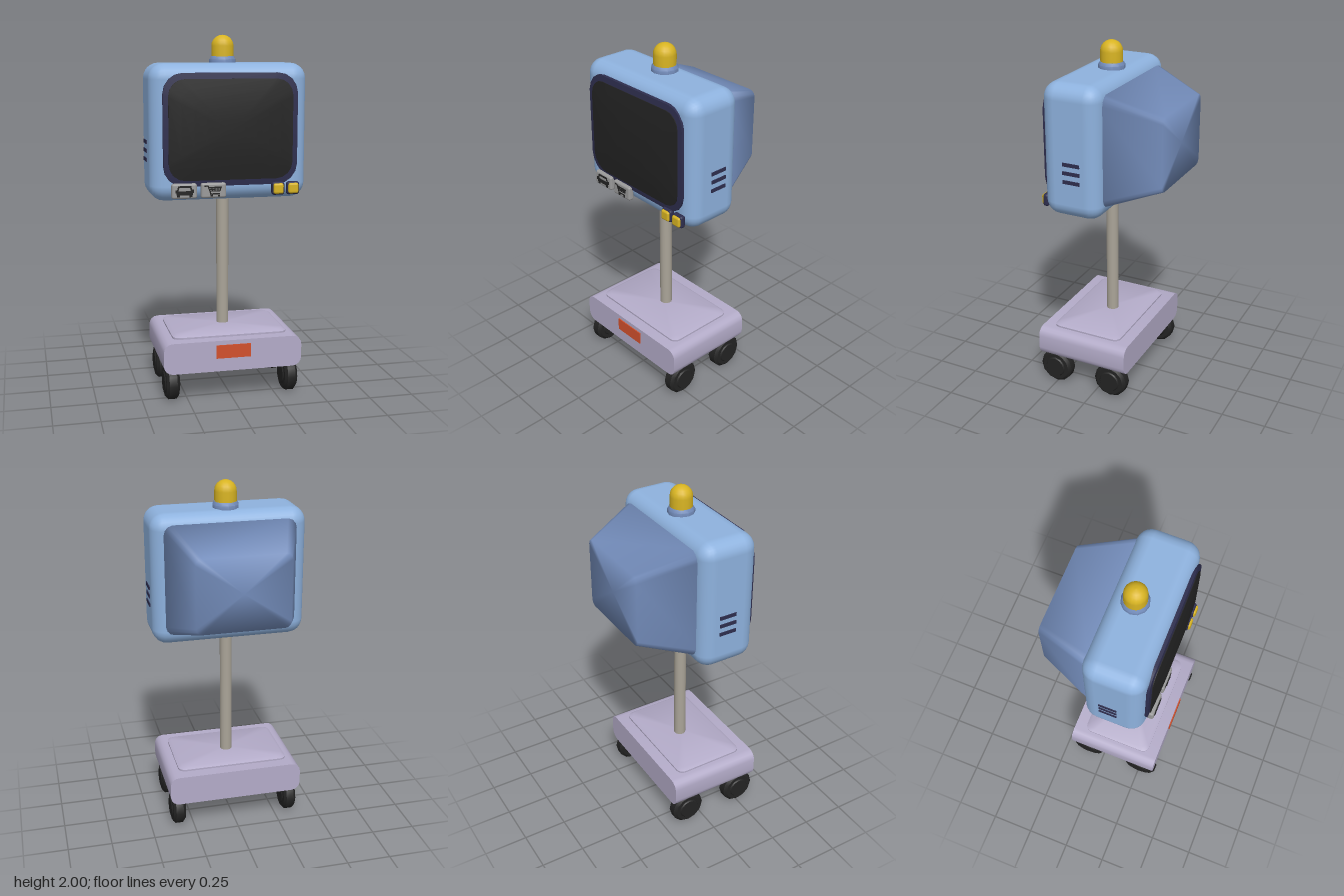
import * as THREE from 'three';
import { toCreasedNormals, mergeVertices } from 'three/addons/utils/BufferGeometryUtils.js';
import { RoundedBoxGeometry } from 'three/addons/geometries/RoundedBoxGeometry.js';

const mat = (name, color) => Object.assign(new THREE.MeshStandardMaterial({ color }), { name });

// Rounded rectangle outline, counter-clockwise; z may be a number or a function of x and y.
function ring(hw, hh, r, z, cy = 0, n = 4) {
  const pts = [];
  [[1, 1], [-1, 1], [-1, -1], [1, -1]].forEach(([sx, sy], q) => {
    for (let i = 0; i <= n; i++) {
      const a = (q + i / n) * Math.PI / 2;
      const x = sx * (hw - r) + r * Math.cos(a), y = sy * (hh - r) + r * Math.sin(a);
      pts.push([x, y + cy, typeof z === 'function' ? z(x, y) : z]);
    }
  });
  return pts;
}

// Skin over rings running from back to front, closed at both ends.
function loft(rings, crease) {
  const n = rings[0].length, pos = rings.flat(2), idx = [];
  rings.slice(1).forEach((_, k) => {
    for (let i = 0; i < n; i++) {
      const a = k * n + i, b = k * n + (i + 1) % n;
      idx.push(a, b, b + n, a, b + n, a + n);
    }
  });
  [rings[0], rings[rings.length - 1]].forEach((rg, end) => {
    const c = pos.length / 3, o = end ? (rings.length - 1) * n : 0;
    for (let j = 0; j < 3; j++) pos.push(rg.reduce((s, p) => s + p[j], 0) / n);
    for (let i = 0; i < n; i++) {
      const a = o + i, b = o + (i + 1) % n;
      idx.push(c, end ? a : b, end ? b : a);
    }
  });
  const g = new THREE.BufferGeometry();
  g.setAttribute('position', new THREE.Float32BufferAttribute(pos, 3));
  g.setIndex(idx);
  if (crease) return toCreasedNormals(g, crease);
  const m = mergeVertices(g);
  m.computeVertexNormals();
  return m;
}

export function createModel() {
  const root = new THREE.Group();
  root.name = 'monitorTrolley';
  const blue = mat('shellBlue', 0x8eb2de), slate = mat('slateBlue', 0x738cba);
  const lilac = mat('baseLilac', 0xb3abc8), steel = mat('poleGrey', 0xaaa498);
  const black = mat('black', 0x232323), navy = mat('navy', 0x2e2e4e);
  const yellow = mat('lampYellow', 0xd8b422), orange = mat('orange', 0xd2502c);
  const grey = mat('plateGrey', 0x9a9a9a);

  const add = (name, geo, material, x = 0, y = 0, z = 0, parent = root) => {
    const m = new THREE.Mesh(geo, material);
    m.name = name;
    m.position.set(x, y, z);
    parent.add(m);
    return m;
  };
  const box = (w, h, d) => new THREE.BoxGeometry(w, h, d);

  // Base with a raised deck and a front badge
  add('base', loft([ring(0.39, 0.0875, 0.05, -0.2), ring(0.39, 0.0875, 0.05, 0.352)], 0.6), lilac, 0, 0.2575, 0);
  const deck = add('deck', loft([
    ring(0.325, 0.21, 0.04, 0), ring(0.325, 0.21, 0.04, 0.015), ring(0.305, 0.19, 0.04, 0.027),
  ], 0.6), lilac, 0, 0.34, 0.078);
  deck.rotation.x = -Math.PI / 2;
  add('frontBadge', box(0.195, 0.075, 0.008), orange, 0, 0.283, 0.354);

  // Wheels
  const tyre = toCreasedNormals(new THREE.LatheGeometry([
    [0, -0.043], [0.056, -0.043], [0.062, -0.036], [0.084, -0.036], [0.1, -0.022],
    [0.1, 0.022], [0.084, 0.036], [0.062, 0.036], [0.056, 0.043], [0, 0.043],
  ].map(([x, y]) => new THREE.Vector2(x, y)), 12), 0.6);
  for (const x of [-0.337, 0.337]) for (const z of [-0.098, 0.257]) {
    add('wheel', tyre, black, x, 0.1, z).rotation.z = Math.PI / 2;
  }

  // Pole
  add('pole', new THREE.CylinderGeometry(0.035, 0.035, 0.77, 16), steel, 0, 0.745, 0.063);

  // Monitor shell and tapering rear housing
  add('shell', new RoundedBoxGeometry(0.872, 0.74, 0.34, 3, 0.085), blue, 0, 1.48, 0.1);
  add('rearHousing', loft([
    ring(0.26, 0.207, 0.035, -0.357, 1.485, 3), ring(0.375, 0.315, 0.05, -0.05, 1.487, 3),
  ]), slate);

  // Bulging bezel and screen
  const dome = lift => (x, y) => 0.305 + lift - 0.014 * (x / 0.37) ** 2 - 0.018 * (y / 0.3) ** 2;
  const domed = (hw, hh, r, lift, back) => loft([
    ring(hw, hh, r, back),
    ...[1, 0.8, 0.6, 0.4, 0.2].map(s => ring(hw * s, hh * s, r * s, dome(lift))),
  ], 0.6);
  add('bezel', domed(0.37, 0.302, 0.11, 0, 0.262), navy, 0, 1.498, 0);
  add('screen', domed(0.342, 0.27, 0.09, 0.004, 0.265), black, 0, 1.498, 0);

  // Yellow push buttons
  for (const x of [0.263, 0.347]) {
    add('buttonSurround', new RoundedBoxGeometry(0.072, 0.072, 0.035, 2, 0.014), navy, x, 1.172, 0.28);
    add('button', new RoundedBoxGeometry(0.058, 0.058, 0.04, 2, 0.012), yellow, x, 1.172, 0.288);
  }

  // Pictogram plates: an armchair and a shopping cart
  const plate = (name, x) => {
    const g = new THREE.Group();
    g.name = name;
    g.position.set(x, 1.174, 0.285);
    root.add(g);
    add('plate', new RoundedBoxGeometry(0.138, 0.082, 0.036, 2, 0.012), grey, 0, 0, 0, g);
    return g;
  };
  const bar = (g, x, y, w, h, turn = 0) => {
    add('pictogram', box(w, h, 0.006), black, x, y, 0.018, g).rotation.z = turn;
  };
  const chair = plate('chairPlate', -0.26);
  bar(chair, 0, 0.025, 0.066, 0.01);
  bar(chair, 0, -0.009, 0.09, 0.022);
  for (const s of [-1, 1]) {
    bar(chair, s * 0.035, 0.014, 0.008, 0.028, s * 0.25);
    bar(chair, s * 0.044, 0, 0.014, 0.018);
    bar(chair, s * 0.034, -0.024, 0.014, 0.014);
  }
  const cart = plate('cartPlate', -0.1);
  bar(cart, -0.041, 0.026, 0.02, 0.006);
  bar(cart, -0.024, 0.002, 0.006, 0.05, 0.35);
  for (const [x, y, w] of [[0.008, 0.018, 0.07], [0.008, 0.008, 0.062], [0.006, -0.002, 0.052], [0.006, -0.017, 0.054]]) {
    bar(cart, x, y, w, 0.006);
  }
  for (const x of [-0.01, 0.006, 0.022, 0.036]) bar(cart, x, 0.008, 0.005, 0.024, (0.006 - x) * 8);
  for (const x of [-0.013, 0.027]) bar(cart, x, -0.027, 0.012, 0.01);

  // Side vents
  for (const s of [-1, 1]) for (const y of [1.328, 1.378, 1.426]) {
    add('vent', box(0.01, 0.02, 0.1), navy, s * 0.436, y, 0.085);
  }

  // Beacon on top
  add('beaconCollar', toCreasedNormals(new THREE.LatheGeometry([
    [0.074, 0], [0.074, 0.022], [0.064, 0.038], [0, 0.038],
  ].map(([x, y]) => new THREE.Vector2(x, y)), 12), 0.6), slate, 0, 1.846, 0.063);
  const bulb = [new THREE.Vector2(0.062, 0)];
  for (let i = 0; i <= 6; i++) {
    const a = i * Math.PI / 12;
    bulb.push(new THREE.Vector2(0.062 * Math.cos(a), 0.06 + 0.06 * Math.sin(a)));
  }
  add('beacon', new THREE.LatheGeometry(bulb, 16), yellow, 0, 1.88, 0.063);

  return root;
}
